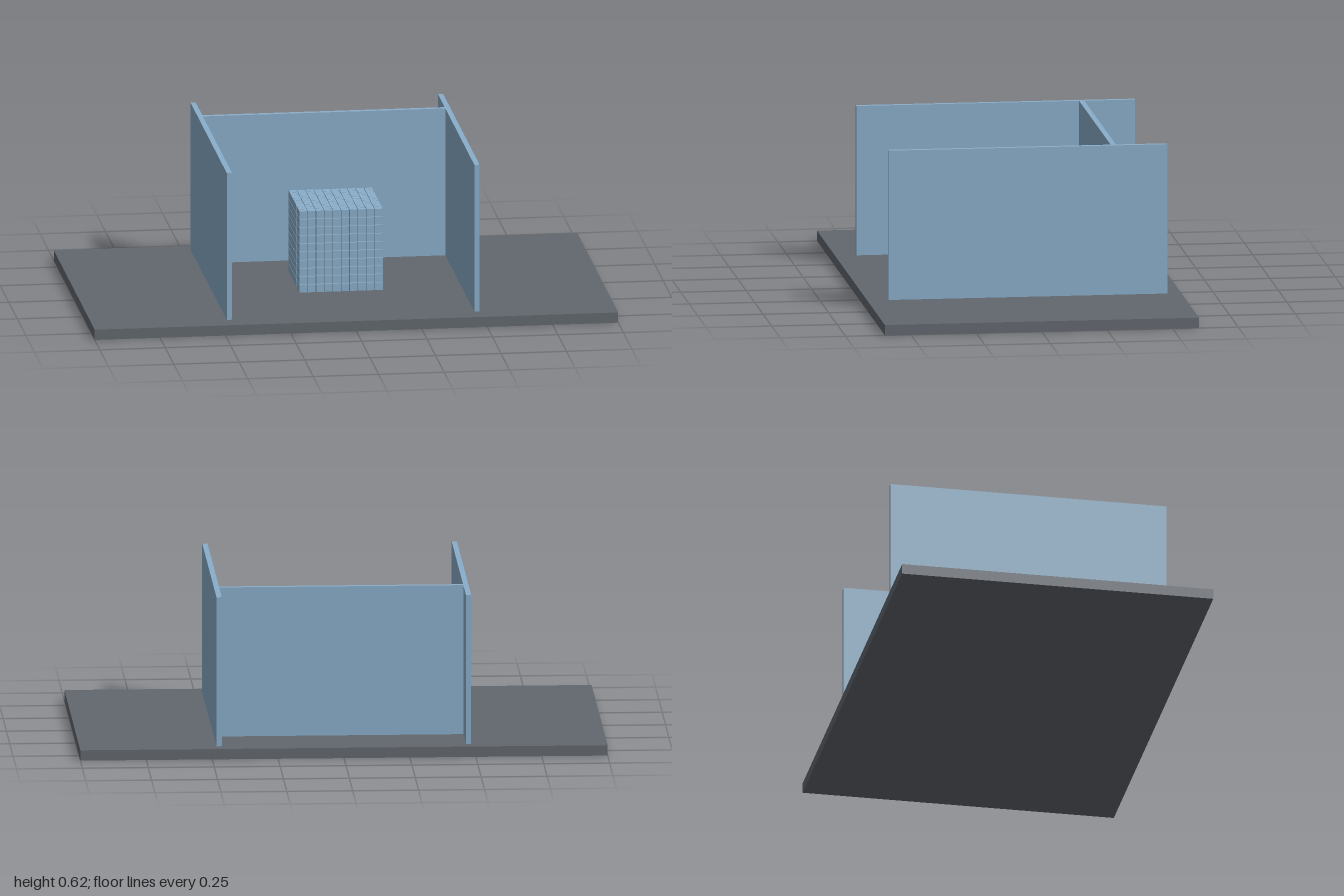
import * as THREE from 'three';
import { mergeGeometries } from 'three/addons/utils/BufferGeometryUtils.js';

export function createModel() {
  const model = new THREE.Group();
  model.name = 'walledCubeStack';

  const slate = new THREE.MeshStandardMaterial({ name: 'slate grey', color: 0x62686f });
  const blue = new THREE.MeshStandardMaterial({ name: 'pale blue', color: 0x8aaeca });

  // Box given by its minimum and maximum corners
  function addBox(name, min, max, material) {
    const size = max.map((v, i) => v - min[i]);
    const mesh = new THREE.Mesh(new THREE.BoxGeometry(...size), material);
    mesh.position.set(...max.map((v, i) => (v + min[i]) / 2));
    mesh.name = name;
    model.add(mesh);
  }

  // Floor slab
  addBox('floor', [-1, 0, -0.6], [1, 0.04, 0.6], slate);

  // Two side walls and the cross wall between them
  const top = 0.615;
  addBox('rightWall', [-0.485, 0.04, -0.546], [-0.465, top, 0.519], blue);
  addBox('leftWall', [0.461, 0.04, -0.546], [0.481, top, 0.519], blue);
  addBox('backWall', [-0.465, 0.04, -0.352], [0.461, top, -0.332], blue);

  // Stack of 10 x 10 x 10 small cubes with narrow gaps
  const count = 10, pitch = 0.032, side = 0.03;
  const cubes = [];
  for (let i = 0; i < count; i++) {
    for (let j = 0; j < count; j++) {
      for (let k = 0; k < count; k++) {
        cubes.push(new THREE.BoxGeometry(side, side, side).translate(
          -0.145 + i * pitch, 0.057 + j * pitch, -0.145 + k * pitch));
      }
    }
  }
  const stack = new THREE.Mesh(mergeGeometries(cubes), blue);
  stack.name = 'cubeStack';
  model.add(stack);

  return model;
}
